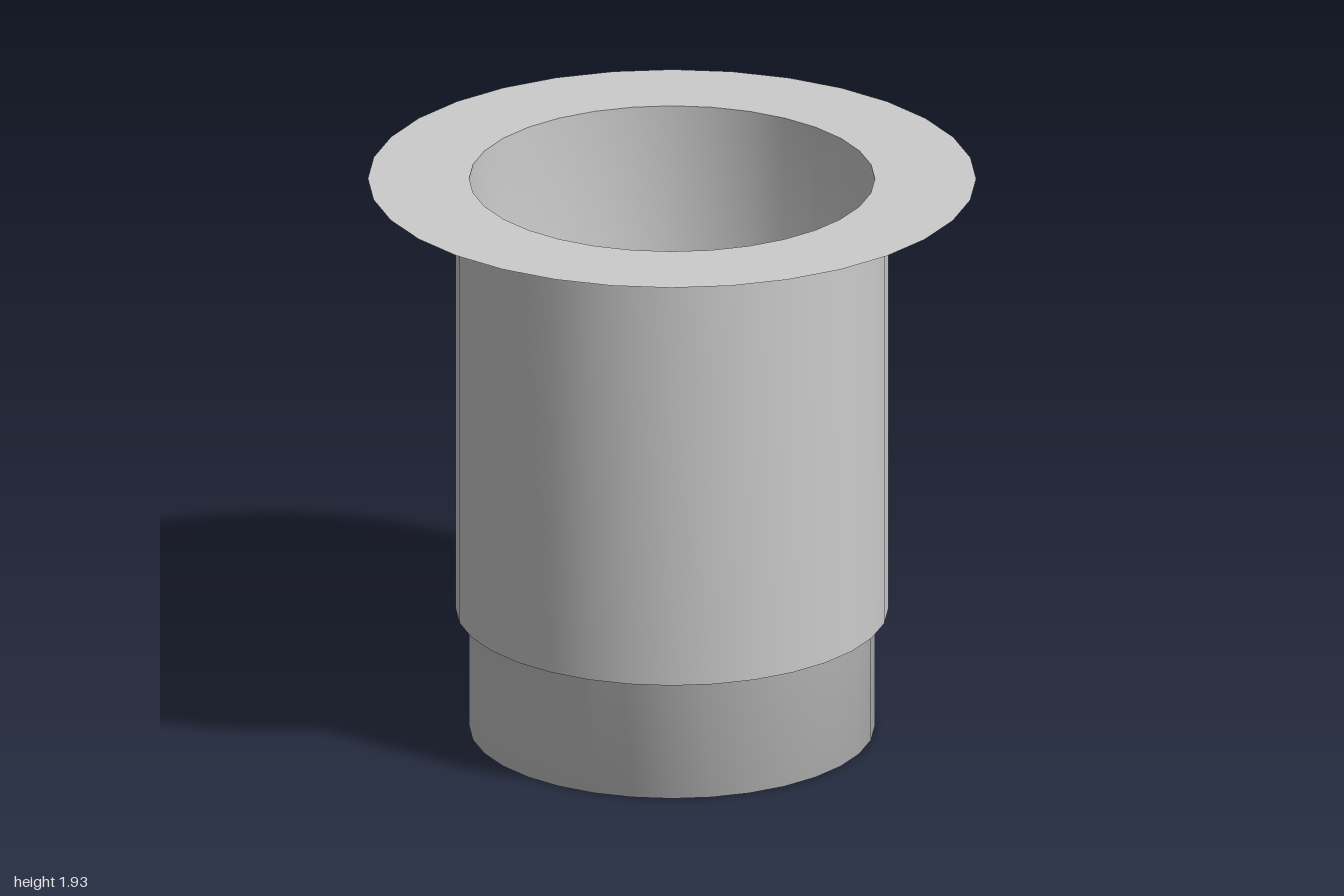
import * as THREE from 'three';
import { toCreasedNormals } from 'three/addons/utils/BufferGeometryUtils.js';

const SIDES = 32;
const material = new THREE.MeshStandardMaterial({ color: 0xcccccc, side: THREE.DoubleSide });

// Turns a profile of [radius, height] pairs around the y axis
function turned(name, profile, crease) {
  const points = profile.map(([r, y]) => new THREE.Vector2(r, y));
  let geometry = new THREE.LatheGeometry(points, SIDES);
  if (crease) geometry = toCreasedNormals(geometry, crease);
  const mesh = new THREE.Mesh(geometry, material);
  mesh.name = name;
  return mesh;
}

export function createModel() {
  const group = new THREE.Group();
  group.name = 'flangedCup';

  const inner = 0.667, outer = 0.712;
  const step = 0.415, neck = 1.897, top = 1.927;

  // Thin inner cup, with its wall shaded smoothly into the floor
  group.add(turned('innerCup', [[0, 0], [inner, 0], [inner, top]]));

  // Wider sleeve around the cup, closed by a small step at its lower end
  group.add(turned('outerSleeve', [[inner, step], [outer, step], [outer, neck]], Math.PI / 5));

  // Flat-topped flange with a shallow conical underside and a knife edge
  group.add(turned('flange', [[outer, neck], [1, top], [inner, top]], 0.05));

  return group;
}
